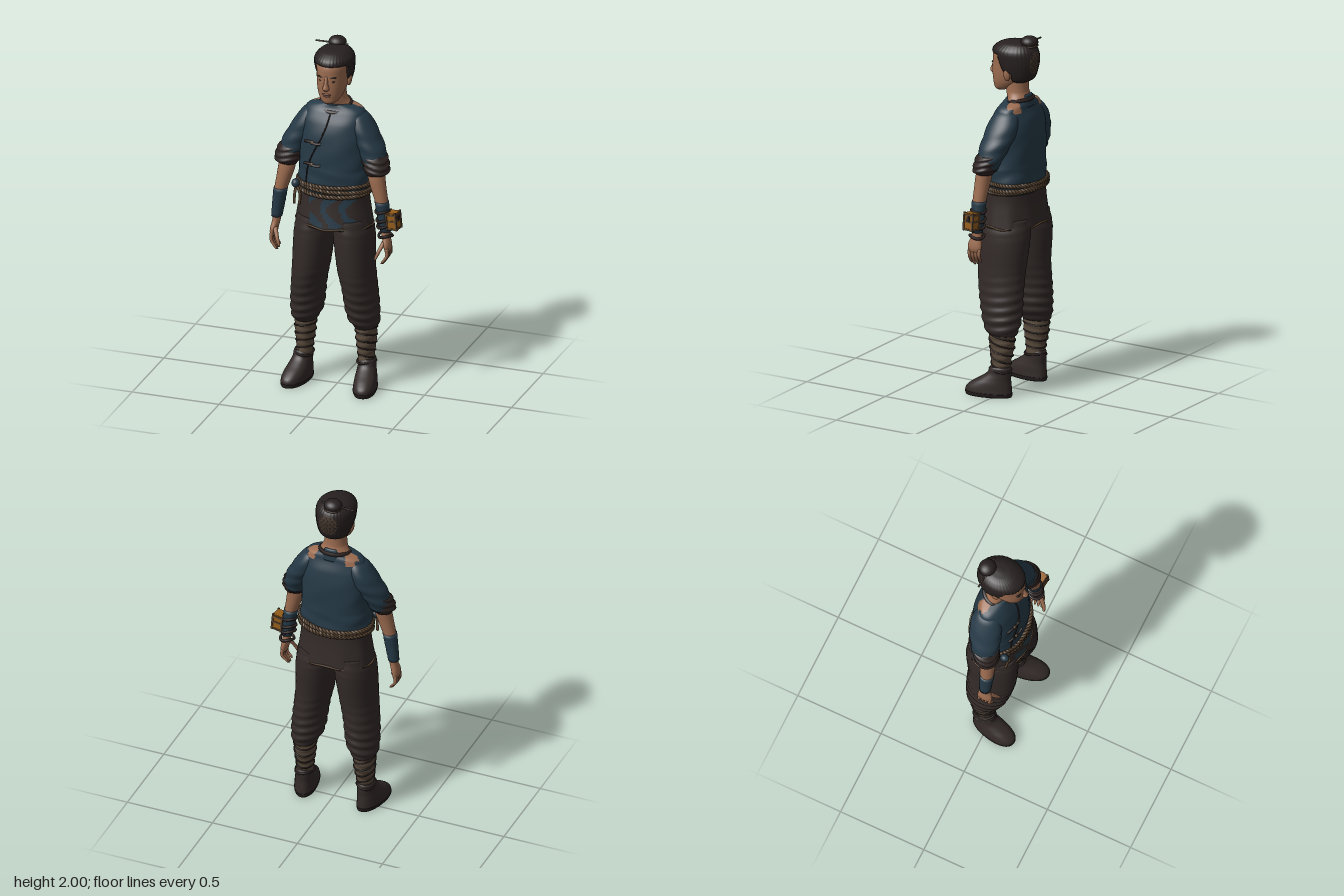
import * as THREE from 'three';

const mat = (name, color) => {
  const m = new THREE.MeshStandardMaterial({ color });
  m.name = name;
  return m;
};

// Smooth interpolation of cross-sections [y, cx, cz, rx, rz] at height y
function sectionAt(secs, y) {
  let i = 0;
  while (i < secs.length - 2 && y > secs[i + 1][0]) i++;
  const a = secs[i], b = secs[i + 1], p = secs[Math.max(i - 1, 0)], n = secs[Math.min(i + 2, secs.length - 1)];
  const h = b[0] - a[0], t = (y - a[0]) / h, t2 = t * t, t3 = t2 * t;
  return a.map((v, k) => k === 0 ? y :
    (2 * t3 - 3 * t2 + 1) * v + (t3 - 2 * t2 + t) * h * (b[k] - p[k]) / (b[0] - p[0]) +
    (3 * t2 - 2 * t3) * b[k] + (t3 - t2) * h * (n[k] - v) / (n[0] - a[0]));
}

// Closed body through horizontal oval sections; warp scales the radius, pick chooses a material
function loftGeometry(sections, { seg = 32, sub = 5, power = 2, side = 1, warp, pick, count = 1 } = {}) {
  const secs = [...sections].sort((a, b) => a[0] - b[0]);
  const rows = (secs.length - 1) * sub, pos = [], lists = Array.from({ length: count }, () => []);
  const round = v => Math.sign(v) * Math.abs(v) ** (2 / power);
  for (let r = 0; r <= rows; r++) {
    const k = Math.min(Math.floor(r / sub), secs.length - 2), f = r / sub - k;
    const [y, cx, cz, rx, rz] = sectionAt(secs, secs[k][0] + f * (secs[k + 1][0] - secs[k][0]));
    for (let j = 0; j < seg; j++) {
      const a = j / seg * Math.PI * 2, c = round(Math.cos(a)), s = round(Math.sin(a));
      const w = warp ? warp(a, y, cx + rx * c, cz + rz * s) : 1;
      pos.push(side * (cx + rx * c * w), y, cz + rz * s * w);
    }
  }
  const tri = (l, a, b, c) => side > 0 ? l.push(a, b, c) : l.push(a, c, b);
  for (let r = 0; r < rows; r++) for (let j = 0; j < seg; j++) {
    const a = r * seg + j, n = r * seg + (j + 1) % seg, u = a + seg, un = n + seg;
    const mid = k => (pos[a * 3 + k] + pos[un * 3 + k]) / 2;
    const l = lists[pick ? pick(mid(0), mid(1), mid(2)) : 0];
    tri(l, a, u, n);
    tri(l, u, un, n);
  }
  for (const [r, top] of [[0, false], [rows, true]]) {
    const s = secs[top ? secs.length - 1 : 0], c = pos.length / 3;
    pos.push(side * s[1], s[0], s[2]);
    for (let j = 0; j < seg; j++) {
      const a = r * seg + j, n = r * seg + (j + 1) % seg;
      top ? tri(lists[0], c, n, a) : tri(lists[0], c, a, n);
    }
  }
  const g = new THREE.BufferGeometry();
  g.setAttribute('position', new THREE.Float32BufferAttribute(pos, 3));
  g.setIndex(lists.flat());
  let start = 0;
  if (count > 1) lists.forEach((l, i) => { g.addGroup(start, l.length, i); start += l.length; });
  g.computeVertexNormals();
  return g;
}

export function createModel() {
  const blue = mat('blue cloth', 0x253946), brown = mat('dark brown cloth', 0x322a28), skin = mat('skin', 0x9c6c50);
  const rope = mat('rope', 0x5a4531), wrap = mat('leg wrap', 0x57483a), hair = mat('black hair', 0x272020);
  const trim = mat('dark trim', 0x2b2220), gold = mat('gold', 0x935c1a), lip = mat('lip', 0x80503f), net = mat('hair net', 0x43352a);
  const model = new THREE.Group();
  const add = (name, geo, m) => {
    const mesh = new THREE.Mesh(geo, m);
    mesh.name = name;
    model.add(mesh);
    return mesh;
  };
  const loft = (name, m, secs, o = {}) => add(name, loftGeometry(secs, { ...o, count: Array.isArray(m) ? m.length : 1 }), m);
  const ball = (name, m, p, s) => {
    const b = add(name, new THREE.SphereGeometry(1, 20, 14), m);
    b.position.set(...p);
    b.scale.set(...s);
    return b;
  };
  const tube = (name, m, pts, r, closed = false, n = 40) => add(name, new THREE.TubeGeometry(
    new THREE.CatmullRomCurve3(pts.map(p => new THREE.Vector3(...p)), closed), n, r, 6, closed), m);
  const loop = (n, f) => Array.from({ length: n }, (_, i) => f(i / n * Math.PI * 2));

  // Tunic, worn through on both shoulders
  const torso = [[1.14, 0, -.012, .195, .137], [1.22, 0, -.01, .198, .138], [1.3, 0, -.01, .192, .137], [1.45, 0, -.016, .19, .131],
    [1.54, 0, -.02, .185, .112], [1.6, 0, -.025, .168, .085], [1.625, 0, -.03, .14, .074], [1.645, 0, -.03, .075, .068]];
  loft('tunic', [blue, skin], torso, {
    seg: 72, sub: 7, power: 2.3,
    warp: (a, y) => 1 + .012 * Math.sin(a * 5 + y * 30) * Math.sin(y * 17) + .012 * Math.sin(y * 70 + 2 * Math.sin(a * 2)) * (y < 1.3 ? 1 : 0),
    pick: (x, y, z) => {
      const ax = Math.abs(x) + .008 * Math.sin(z * 150);
      return y > 1.595 && ax > .082 && ax < .142 && z > -.1 && z < -.028 ? 1 : 0;
    },
  });
  const chest = (x, y) => {
    const [, , cz, rx, rz] = sectionAt(torso, y);
    return [x, y, cz + rz * (1 - Math.abs(x / rx) ** 2.3) ** (1 / 2.3) + .003];
  };
  tube('wrap seam', trim, [[0, 1.6], [-.01, 1.54], [-.04, 1.46], [-.08, 1.38], [-.11, 1.3], [-.125, 1.2]].map(p => chest(...p)), .004);
  for (const y of [1.435, 1.31]) {
    tube('frog closure', trim, [-.135, -.1, -.065, -.03].map((x, i) => chest(x, y + .006 * (i % 2))), .008);
    ball('closure knot', rope, chest(-.085, y + .004), [.012, .011, .009]);
  }
  tube('collar', trim, loop(16, a => [.082 * Math.cos(a), 1.64 - .035 * Math.max(0, Math.sin(a)) + .012 * Math.max(0, -Math.sin(a)),
    -.026 + .076 * Math.sin(a)]), .011, true, 60);
  loft('back collar', blue, [[1.61, 0, -.095, .05, .015], [1.645, 0, -.09, .045, .014], [1.675, 0, -.088, .035, .008]], { seg: 16 });

  // Tunic skirt with faded patches, belt and hem
  loft('tunic skirt', [brown, blue], [[.95, 0, -.012, .215, .158], [1.02, 0, -.012, .205, .148], [1.1, 0, -.012, .195, .139], [1.18, 0, -.012, .194, .136]], {
    seg: 96, sub: 9, power: 2.2, warp: (a, y) => 1 + .012 * Math.sin(a * 9) * (1.18 - y) / .23,
    pick: (x, y, z) => z > .05 && Math.abs(x - .03) < .13 && Math.sin(x * 60 + 2.5 * Math.sin(y * 25)) + .6 * Math.sin(y * 40) > .05 ? 1 : 0,
  });
  tube('skirt hem', rope, loop(40, a => [.215 * Math.cos(a), .955 + .005 * Math.sin(a * 7), -.012 + .159 * Math.sin(a)]), .006, true, 100);
  [1.152, 1.172, 1.192].forEach((y, k) => {
    for (const ph of [0, Math.PI]) tube('belt rope', rope, loop(150, a => {
      const t = a * 30 + ph, r = .006 * Math.cos(t);
      return [(.204 + r) * Math.cos(a), y + .006 * Math.sin(t) - .008 * Math.sin(a + k * 2), -.012 + (.152 + r) * Math.sin(a)];
    }), .0075, true, 300);
  });
  ball('belt knot', blue, [-.185, 1.185, .1], [.022, .025, .025]);
  for (const d of [0, .03]) tube('belt tail', rope, [[-.18, 1.18, .1], [-.185 + d, 1.13, .115], [-.19 + d, 1.07, .11]], .008);

  // Neck and head
  loft('neck', skin, [[1.58, 0, -.03, .1, .05], [1.63, 0, -.04, .1, .058], [1.655, 0, -.032, .078, .062], [1.69, 0, -.02, .063, .062], [1.78, 0, -.02, .06, .062]]);
  loft('head', skin, [[1.677, 0, .085, .022, .022], [1.69, 0, .07, .045, .046], [1.71, 0, .052, .06, .068], [1.74, 0, .034, .073, .09], [1.78, 0, .018, .081, .109],
    [1.84, 0, .005, .085, .121], [1.9, 0, -.005, .087, .123], [1.94, 0, -.01, .06, .08]], { seg: 40, power: 2.15 });
  loft('nose', skin, [[1.764, 0, .128, .014, .012], [1.776, 0, .131, .019, .021], [1.8, 0, .127, .012, .018], [1.845, 0, .115, .009, .013]], { seg: 16 });
  ball('upper lip', lip, [0, 1.738, .121], [.026, .006, .009]);
  ball('lower lip', lip, [0, 1.727, .117], [.021, .006, .009]);
  for (const s of [-1, 1]) {
    ball('eye', hair, [s * .034, 1.815, .113], [.013, .0045, .007]).rotation.y = s * .3;
    const brow = ball('eyebrow', hair, [s * .036, 1.837, .114], [.02, .004, .007]);
    brow.rotation.set(0, s * .3, s * .08);
    ball('ear', skin, [s * .088, 1.79, -.005], [.012, .034, .02]).rotation.z = -s * .15;
  }

  // Combed hair: the shell sinks into the head below the hairline
  const hairline = z => z > .055 ? 1.895 : z > .02 ? 1.8 + (z - .02) * 2.7 : z > -.03 ? 1.8 : 1.75;
  loft('hair', [hair, net], [[1.74, 0, -.035, .065, .055], [1.77, 0, -.035, .083, .085], [1.82, 0, -.022, .1, .115], [1.87, 0, -.012, .107, .134],
    [1.92, 0, -.008, .105, .129], [1.95, 0, -.014, .08, .098], [1.964, 0, -.018, .05, .06], [1.969, 0, -.02, .012, .015]], {
    seg: 144, sub: 9,
    warp: (a, y, x, z) => (.75 + .25 * THREE.MathUtils.smoothstep(y, hairline(z) - .012, hairline(z) + .008)) * (1 + .007 * Math.sin(a * 36)),
    pick: (x, y, z) => z < -.08 && (x / .055) ** 2 + ((y - 1.86) / .065) ** 2 < 1 && Math.sin(x * 260) * Math.sin(y * 210) > -.3 ? 1 : 0,
  });
  ball('hair bun', hair, [-.012, 1.965, -.087], [.05, .035, .048]);
  tube('bun tie', net, loop(16, a => [-.012 + .042 * Math.cos(a), 1.948, -.087 + .042 * Math.sin(a)]), .007, true);
  tube('hairpin', net, [[-.135, 1.958, -.083], [.055, 1.962, -.076]], .005);

  for (const side of [-1, 1]) {
    const limb = (name, m, secs, o = {}) => loft(name, m, secs, { ...o, side });
    const ring = (name, m, cx, y, cz, rx, rz, r) => tube(name, m, loop(14, a => [side * (cx + rx * Math.cos(a)), y + .006 * Math.sin(a * 2), cz + rz * Math.sin(a)]), r, true);

    // Sleeve with rolled cuff
    limb('sleeve', blue, [[1.3, .25, .02, .062, .06], [1.36, .235, .008, .072, .074], [1.42, .208, -.005, .078, .083], [1.5, .168, -.02, .075, .09],
      [1.56, .145, -.026, .06, .078], [1.6, .125, -.028, .04, .05], [1.61, .115, -.028, .01, .015]],
    { seg: 40, warp: (a, y) => 1 + (y < 1.5 ? .03 : .01) * Math.sin(y * 75 + 2 * Math.sin(a + 1)) });
    limb('rolled cuff', trim, [[1.275, .256, .03, .055, .052], [1.29, .256, .03, .069, .063], [1.31, .255, .028, .072, .066], [1.345, .245, .018, .074, .07],
      [1.375, .236, .01, .07, .07], [1.385, .234, .009, .055, .055]], { seg: 40, warp: (a, y) => 1 + .05 * Math.sin(y * 190 + 2 * Math.sin(a * 2)) });

    // Forearm, bracer and hand
    limb('forearm', skin, [[.845, .328, .05, .014, .036], [.865, .328, .05, .019, .042], [.89, .324, .05, .021, .041], [.93, .315, .046, .022, .03], [.97, .311, .045, .025, .028],
      [1.1, .294, .045, .034, .036], [1.2, .27, .04, .043, .041], [1.25, .259, .036, .047, .044], [1.33, .25, .025, .045, .045]]);
    limb('bracer', blue, [[.955, .313, .045, .03, .033], [1.03, .303, .045, .035, .036], [1.125, .29, .045, .039, .041]], { warp: (a, y) => 1 + .02 * Math.sin(y * 160 + a) });
    [0, 1, 2, 3].forEach(i => {
      const z = .02 + .02 * i, drop = [.016, .004, 0, .008][i];
      limb('finger', skin, [[.765 + drop, .302, z + .004, .004, .004], [.775 + drop, .308, z + .004, .0075, .0075],
        [.82, .332, z, .0095, .0095], [.865, .33, z, .011, .011]], { seg: 10, sub: 4 });
    });
    limb('thumb', skin, [[.803, .276, .112, .004, .004], [.812, .278, .111, .008, .008], [.85, .293, .1, .011, .011], [.9, .314, .07, .014, .014]], { seg: 10, sub: 4 });

    // Baggy trouser leg gathered below the knee
    limb('trouser leg', brown, [[.35, .175, -.03, .062, .078], [.365, .174, -.029, .071, .09], [.4, .165, -.022, .083, .106], [.45, .158, -.018, .09, .116], [.52, .152, -.012, .092, .125],
      [.6, .143, -.005, .094, .133], [.7, .129, 0, .101, .139], [.9, .112, -.01, .11, .148], [1, .1, -.012, .1, .135]],
    { seg: 48, sub: 8, warp: (a, y) => 1 + THREE.MathUtils.lerp(.035, .008, THREE.MathUtils.smoothstep(y, .45, .68)) * Math.sin(y * 115 + 2.2 * Math.sin(a + 1)) });

    // Bound shin with crossing cord
    const shin = [[.14, .178, -.022, .043, .053], [.2, .177, -.025, .046, .057], [.28, .175, -.029, .055, .071], [.37, .175, -.03, .058, .077]];
    limb('shin wrap', wrap, shin, { sub: 10, warp: (a, y) => 1 + .03 * Math.sin(y * 150 + a) });
    tube('shin cord', trim, Array.from({ length: 60 }, (_, i) => {
      const y = .17 + i * .0031, a = i * .44, [, cx, cz, rx, rz] = sectionAt(shin, y);
      return [side * (cx + (rx + .001) * Math.cos(a)), y + .012 * Math.sin(a), cz + (rz + .001) * Math.sin(a)];
    }), .0045, false, 200);

    // Soft shoe, turned outwards
    const foot = [[0, 0, .073, .058, .128], [.012, 0, .073, .063, .132], [.045, 0, .071, .062, .129], [.075, 0, .055, .059, .11], [.1, 0, .035, .054, .088],
      [.13, 0, .013, .049, .068], [.16, 0, .006, .048, .06], [.172, 0, .006, .043, .054]];
    const toe = (a, y) => 1 + .06 * Math.sin(a) * Math.cos(a) ** 2;
    const shoe = limb('shoe', brown, foot, { seg: 40, power: 2.2, warp: toe });
    const sole = limb('sole', hair, foot.slice(0, 2).concat([[.022, 0, .073, .064, .132]]), { seg: 40, power: 2.2, warp: (a, y) => toe(a, y) * 1.015 });
    for (const m of [shoe, sole]) {
      m.position.set(side * .182, 0, -.03);
      m.rotation.y = side * .19;
    }
    ring('shoe cord', trim, .18, .15, -.022, .05, .062, .006);

    // Box strapped to the left wrist
    if (side > 0) {
      for (const y of [.93, .985, 1.02, 1.07]) ring('wrist strap', trim, .302 + (1.02 - y) * .12, y, .045, .037, .04, .008);
      const box = new THREE.Group();
      box.name = 'wristBox';
      const part = (name, m, w, h, d, x, y, z) => {
        const p = add(name, new THREE.BoxGeometry(w, h, d), m);
        p.position.set(x, y, z);
        box.add(p);
      };
      part('box body', gold, .058, .095, .06, 0, 0, 0);
      for (const y of [-.044, 0, .036]) part('box band', rope, .064, .01, .066, 0, y, 0);
      for (const x of [-1, 1]) for (const z of [-1, 1]) part('box corner', rope, .01, .102, .01, x * .028, 0, z * .029);
      part('box clasp', trim, .008, .03, .02, .031, .015, 0);
      box.position.set(.36, 1.026, .05);
      box.rotation.set(0, -.12, .1);
      model.add(box);
    }
  }
  model.position.x = -.02;
  const root = new THREE.Group();
  root.name = 'villager';
  root.add(model);
  return root;
}
